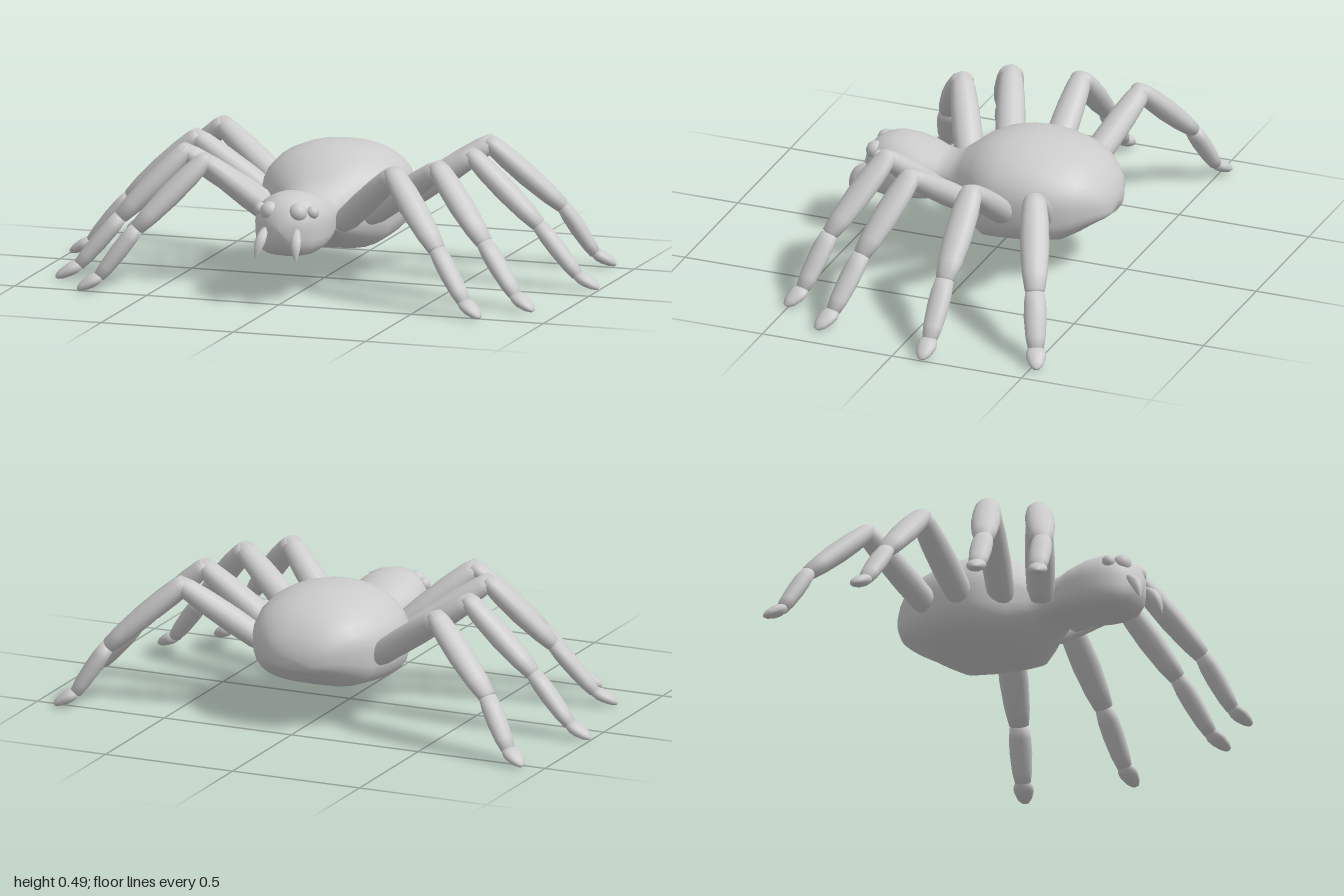
import * as THREE from 'three';

const material = new THREE.MeshStandardMaterial({ color: 0xcccccc });
const V = (x, y, z) => new THREE.Vector3(x, y, z);

function addMesh(parent, geometry, name) {
  const mesh = new THREE.Mesh(geometry, material);
  mesh.name = name;
  parent.add(mesh);
  return mesh;
}

// Loft along z: domed top half, flatter and boxier bottom half
function bodyGeometry(stations, sides = 28) {
  const pos = [], index = [];
  const power = (v, e) => Math.sign(v) * Math.pow(Math.abs(v), e);
  for (const [z, w, top, bottom] of stations) {
    const mid = (top + bottom) / 2;
    for (let j = 0; j < sides; j++) {
      const t = (j / sides) * Math.PI * 2;
      const c = Math.cos(t), s = Math.sin(t);
      const e = s < 0 ? 0.62 : 0.95;
      pos.push(w * power(c, e), mid + power(s, e) * (top - mid), z);
    }
  }
  for (let i = 0; i < stations.length - 1; i++) {
    for (let j = 0; j < sides; j++) {
      const k = (j + 1) % sides;
      const a = i * sides + j, b = i * sides + k, c = b + sides, d = a + sides;
      index.push(a, b, c, a, c, d);
    }
  }
  const g = new THREE.BufferGeometry();
  g.setAttribute('position', new THREE.Float32BufferAttribute(pos, 3));
  g.setIndex(index);
  g.computeVertexNormals();
  return g;
}

// Swollen limb piece between two points, wider sideways than it is thick
function limb(parent, name, from, to, profile, thickness) {
  const dir = to.clone().sub(from);
  const length = dir.length();
  dir.normalize();
  const points = profile.map(([r, t]) => new THREE.Vector2(r, t * length));
  const g = new THREE.LatheGeometry(points, 14);
  g.scale(thickness, 1, 1);
  const side = V(0, 1, 0).cross(dir).normalize();
  const normal = dir.clone().cross(side);
  g.applyMatrix4(new THREE.Matrix4().makeBasis(normal, dir, side).setPosition(from));
  addMesh(parent, g, name);
}

// Radius and position along each limb piece
const THIGH = [[0, -0.03], [0.038, -0.01], [0.051, 0.12], [0.054, 0.4], [0.051, 0.7], [0.044, 0.92], [0.033, 1.04], [0, 1.06]];
const SHIN = [[0, -0.07], [0.034, -0.055], [0.044, 0.03], [0.051, 0.22], [0.053, 0.5], [0.046, 0.8], [0.036, 0.98], [0, 1.01]];
const LOWER = [[0, -0.03], [0.034, -0.01], [0.04, 0.2], [0.041, 0.45], [0.036, 0.8], [0.028, 1], [0, 1.03]];
const FOOT = [[0, -0.1], [0.027, -0.06], [0.036, 0.2], [0.036, 0.42], [0.027, 0.75], [0.014, 0.95], [0, 1]];

// Hip, knee, shin joint, ankle and foot tip of each leg on the left
const LEGS = [
  ['frontLeg', [0.12, 0.24, 0.15], [0.36, 0.462, 0.28], [0.57, 0.225, 0.417], [0.69, 0.055, 0.47], [0.76, 0.01, 0.508]],
  ['secondLeg', [0.17, 0.24, 0.018], [0.48, 0.462, 0.14], [0.69, 0.225, 0.245], [0.825, 0.055, 0.298], [0.903, 0.01, 0.332]],
  ['thirdLeg', [0.2, 0.24, -0.115], [0.523, 0.462, -0.112], [0.775, 0.225, -0.112], [0.918, 0.055, -0.112], [1, 0.01, -0.112]],
  ['rearLeg', [0.21, 0.25, -0.248], [0.505, 0.462, -0.35], [0.75, 0.225, -0.45], [0.852, 0.055, -0.495], [0.923, 0.01, -0.526]],
];

function leg(spec, s) {
  const [name, ...joints] = spec;
  const group = new THREE.Group();
  group.name = (s > 0 ? 'left ' : 'right ') + name;
  const p = joints.map(([x, y, z]) => V(s * x, y, z));
  limb(group, 'thigh', p[0], p[1], THIGH, 0.85);
  limb(group, 'shin', p[1], p[2], SHIN, 0.75);
  limb(group, 'lowerLeg', p[2], p[3], LOWER, 0.75);
  limb(group, 'foot', p[3], p[4], FOOT, 0.62);
  return group;
}

// Bent spindle: thin at the root, widest in the middle, pointed at the tip
function fangGeometry(s) {
  const curve = new THREE.CatmullRomCurve3([
    V(s * 0.06, 0.275, 0.475), V(s * 0.065, 0.243, 0.507), V(s * 0.071, 0.212, 0.524), V(s * 0.077, 0.168, 0.537),
  ]);
  const rings = 10, sides = 8;
  const g = new THREE.TubeGeometry(curve, rings, 0.02, sides);
  const pos = g.attributes.position, v = V(0, 0, 0);
  for (let i = 0; i < pos.count; i++) {
    const t = Math.floor(i / (sides + 1)) / rings;
    const taper = 1 - Math.sin(Math.PI * (0.15 + 0.85 * t));
    v.fromBufferAttribute(pos, i).lerp(curve.getPointAt(t), taper);
    pos.setXYZ(i, v.x, v.y, v.z);
  }
  g.computeVertexNormals();
  return g;
}

export function createModel() {
  const model = new THREE.Group();
  model.name = 'spider';

  // Abdomen, narrow waist and head in one skin: z, half width, top, bottom
  addMesh(model, bodyGeometry([
    [-0.467, 0, 0.27, 0.27], [-0.465, 0.065, 0.31, 0.235], [-0.445, 0.12, 0.355, 0.222],
    [-0.41, 0.164, 0.395, 0.203], [-0.37, 0.203, 0.428, 0.177], [-0.31, 0.24, 0.455, 0.143],
    [-0.23, 0.262, 0.472, 0.134], [-0.15, 0.268, 0.479, 0.125], [-0.08, 0.262, 0.475, 0.118],
    [-0.02, 0.246, 0.462, 0.112], [0.04, 0.198, 0.435, 0.135], [0.1, 0.142, 0.388, 0.165],
    [0.15, 0.108, 0.35, 0.19], [0.2, 0.112, 0.352, 0.188], [0.25, 0.127, 0.37, 0.18],
    [0.32, 0.136, 0.388, 0.171], [0.38, 0.131, 0.392, 0.166], [0.43, 0.112, 0.38, 0.17],
    [0.465, 0.082, 0.355, 0.187], [0.489, 0.045, 0.32, 0.22], [0.496, 0, 0.27, 0.27],
  ]), 'body');

  for (const s of [1, -1]) {
    const side = s > 0 ? 'left ' : 'right ';
    for (const spec of LEGS) model.add(leg(spec, s));

    // Large inner eye and small outer eye, set into the face
    for (const [name, r, x, y, z] of [['innerEye', 0.035, 0.053, 0.333, 0.446], ['outerEye', 0.024, 0.098, 0.332, 0.416]]) {
      addMesh(model, new THREE.SphereGeometry(r, 16, 12), side + name).position.set(s * x, y, z);
    }
    addMesh(model, fangGeometry(s), side + 'fang');
  }
  return model;
}
